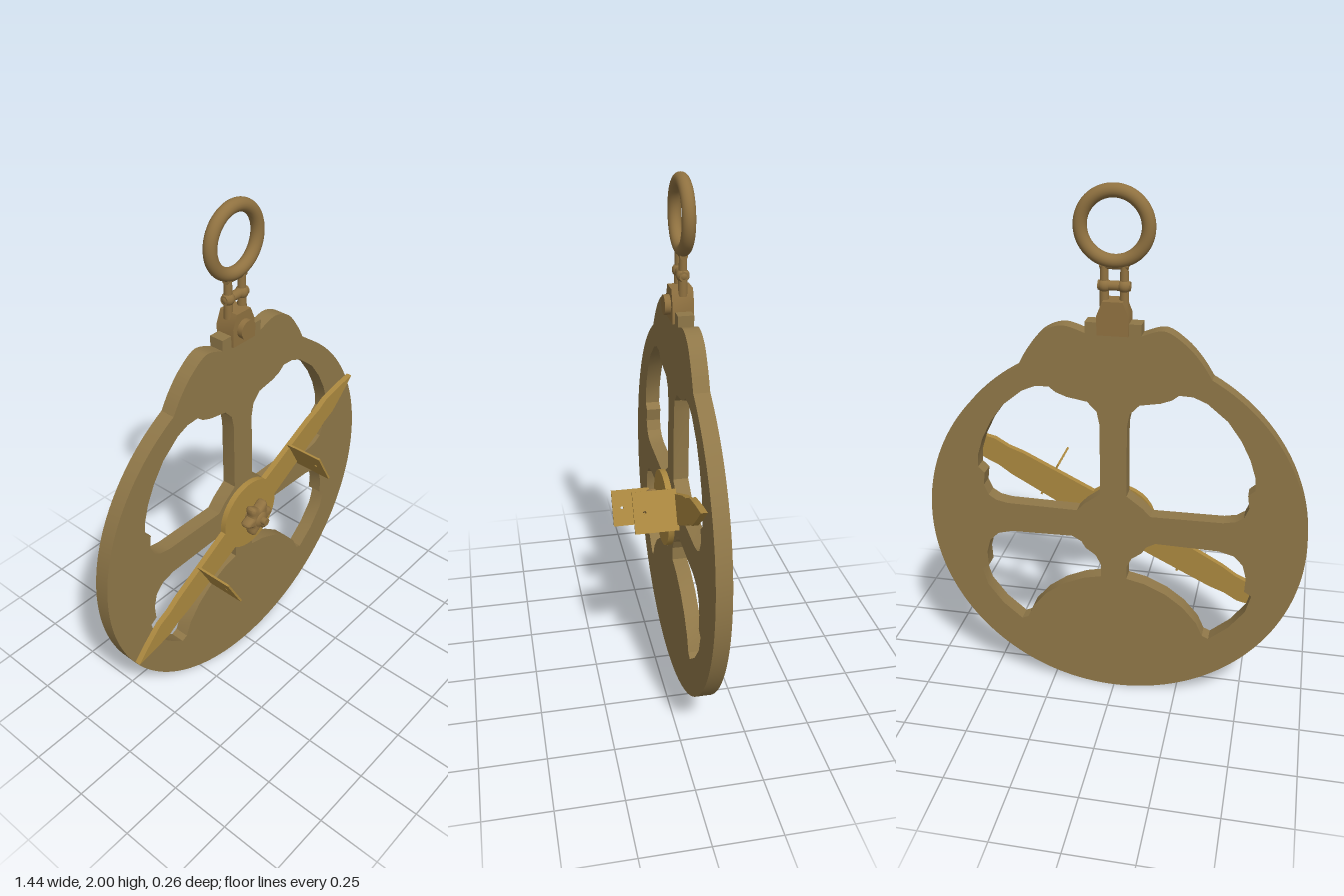
import * as THREE from 'three';
import { toCreasedNormals } from 'three/addons/utils/BufferGeometryUtils.js';

const CENTRE_Y = 0.725, PLATE_Y = 0.72, RING_Z = -0.09;

function material(name, color) {
  const m = new THREE.MeshStandardMaterial({ color });
  m.name = name;
  return m;
}

const vectors = (points) => points.map(([x, y]) => new THREE.Vector2(x, y));

function extrude(shape, z0, z1, bevel = 0) {
  const geometry = new THREE.ExtrudeGeometry(shape, {
    depth: z1 - z0 - 2 * bevel, curveSegments: 64,
    bevelEnabled: bevel > 0, bevelSize: bevel, bevelThickness: bevel, bevelOffset: -bevel, bevelSegments: 4,
  });
  geometry.translate(0, 0, z0 + bevel);
  return toCreasedNormals(geometry, 0.45);
}

export function createModel() {
  const model = new THREE.Group();
  model.name = 'astrolabe';
  const bronze = material('bronze', 0x8f7748);
  const gold = material('golden brass', 0xab883f);
  const brass = material('aged brass', 0x8f7140);

  function add(name, geometry, mat, parent = model) {
    const mesh = new THREE.Mesh(geometry, mat);
    mesh.name = name;
    parent.add(mesh);
    return mesh;
  }
  // Cylinder along z
  function disc(name, r, z0, z1, y, mat, parent) {
    const geometry = new THREE.CylinderGeometry(r, r, z1 - z0, 32).rotateX(Math.PI / 2);
    return add(name, geometry, mat, parent).position.set(0, y, (z0 + z1) / 2);
  }

  // Wheel outline: circle with two shoulders at the top
  const wheel = new THREE.Shape();
  const deg = Math.PI / 180;
  wheel.absarc(0, PLATE_Y, 0.72, 119 * deg, 421 * deg, false);
  wheel.splineThru(vectors([[0.31, 1.42], [0.255, 1.487], [0.18, 1.515], [0.1, 1.493]]));
  wheel.lineTo(-0.1, 1.493);
  wheel.splineThru(vectors([[-0.18, 1.515], [-0.255, 1.47], [-0.31, 1.41], [-0.349, 1.35]]));

  // Window outlines on the left side, mirrored for the other
  const upper = [
    [0.05, 0.87], [0.05, 1.15], [0.06, 1.2], [0.095, 1.237], [0.17, 1.25], [0.21, 1.265],
    [0.235, 1.285], [0.285, 1.283], [0.335, 1.262], [0.41, 1.2], [0.46, 1.13], [0.495, 1.06],
    [0.517, 0.99], [0.52, 0.94], [0.495, 0.917], [0.502, 0.865], [0.485, 0.825], [0.455, 0.805],
    [0.41, 0.796], [0.14, 0.793], [0.11, 0.825],
  ];
  const lower = [
    [0.05, 0.512], [0.05, 0.565], [0.07, 0.605], [0.108, 0.632], [0.125, 0.66], [0.16, 0.68],
    [0.4, 0.675], [0.455, 0.66], [0.49, 0.625], [0.505, 0.57], [0.502, 0.51], [0.53, 0.492],
    [0.51, 0.42], [0.45, 0.34], [0.375, 0.276], [0.35, 0.287], [0.325, 0.343],
    [0.27, 0.408], [0.2, 0.46], [0.12, 0.496],
  ];
  for (const side of [1, -1]) {
    for (const outline of [upper, lower]) {
      wheel.holes.push(new THREE.Path(vectors(outline.map(([x, y]) => [side * x, y]))));
    }
  }
  add('wheel', extrude(wheel, -0.118, -0.06), bronze);

  // Rotating pointer with two sights
  const pointer = new THREE.Group();
  pointer.name = 'pointer';
  pointer.position.y = CENTRE_Y;
  pointer.rotation.z = 28 * deg;
  model.add(pointer);

  const arm = [[0.135, 0.06], [0.44, 0.052], [0.5, 0.044], [0.56, 0.047], [0.65, 0.023], [0.72, 0]];
  const half = [...arm.map(([x, y]) => [x, -y]), ...arm.slice(0, -1).reverse()];
  const hub = [];
  for (let i = 1; i < 12; i++) {
    const a = (24 + (132 * i) / 12) * deg;
    hub.push([0.148 * Math.cos(a), 0.148 * Math.sin(a)]);
  }
  const turned = (points) => points.map(([x, y]) => [-x, -y]);
  const bar = new THREE.Shape(vectors([...half, ...hub, ...turned(half), ...turned(hub)]));
  add('pointerBar', extrude(bar, -0.047, -0.024), gold, pointer);

  for (const side of [1, -1]) {
    const plate = new THREE.Shape(vectors([[-0.075, -0.03], [0.075, -0.03], [0.075, 0.13], [-0.075, 0.13]]));
    const pinhole = new THREE.Path();
    pinhole.absarc(0, 0.09, 0.006, 0, Math.PI * 2, true);
    plate.holes.push(pinhole);
    const geometry = extrude(plate, -0.004, 0.004);
    // Stand the sight upright across the bar
    geometry.rotateX(Math.PI / 2).rotateZ(Math.PI / 2).scale(1, 1, 1);
    const sight = add('sight', geometry, gold, pointer);
    sight.position.x = side * 0.302;
  }

  // Central pin, collar and six-lobed nut
  disc('collar', 0.032, -0.06, -0.01, CENTRE_Y, brass);
  disc('pin', 0.015, -0.02, 0.06, CENTRE_Y, brass);
  const lobes = [];
  for (let i = 0; i < 72; i++) {
    const a = (i / 72) * Math.PI * 2, r = 0.062 + 0.013 * Math.cos(6 * a);
    lobes.push([r * Math.cos(a), r * Math.sin(a)]);
  }
  add('nut', extrude(new THREE.Shape(vectors(lobes)), -0.016, 0.032, 0.018), brass).position.y = CENTRE_Y;
  const dome = add('nutDome', new THREE.SphereGeometry(0.035, 24, 16), brass);
  dome.position.set(0, CENTRE_Y, 0.025);
  dome.scale.z = 0.5;

  // Hanger bracket on a stepped base
  add('hangerBase', new THREE.BoxGeometry(0.2, 0.05, 0.058), bronze).position.set(0, 1.508, -0.089);
  const bracket = new THREE.Shape(vectors([
    [-0.056, 1.49], [0.056, 1.49], [0.056, 1.56], [0.035, 1.61], [-0.035, 1.61], [-0.056, 1.56],
  ]));
  add('bracket', extrude(bracket, -0.127, -0.05), brass);
  disc('bracketPin', 0.036, -0.06, -0.028, 1.545, brass);

  // Shackle: two uprights, a cross pin and a top loop under the ring
  for (const side of [1, -1]) {
    add('shackleArm', new THREE.CylinderGeometry(0.014, 0.017, 0.15, 16), brass)
      .position.set(side * 0.035, 1.66, RING_Z);
    add('shackleEye', new THREE.SphereGeometry(0.024, 16, 12), brass)
      .position.set(side * 0.035, 1.658, RING_Z);
  }
  add('crossPin', new THREE.CylinderGeometry(0.017, 0.017, 0.112, 16).rotateZ(Math.PI / 2), brass)
    .position.set(0, 1.658, RING_Z);
  add('shackleTop', new THREE.CylinderGeometry(0.014, 0.014, 0.098, 16).rotateZ(Math.PI / 2), brass)
    .position.set(0, 1.728, RING_Z);

  // Carrying ring
  add('ring', new THREE.TorusGeometry(0.117, 0.024, 20, 64), brass).position.set(0, 1.859, RING_Z);
  return model;
}
